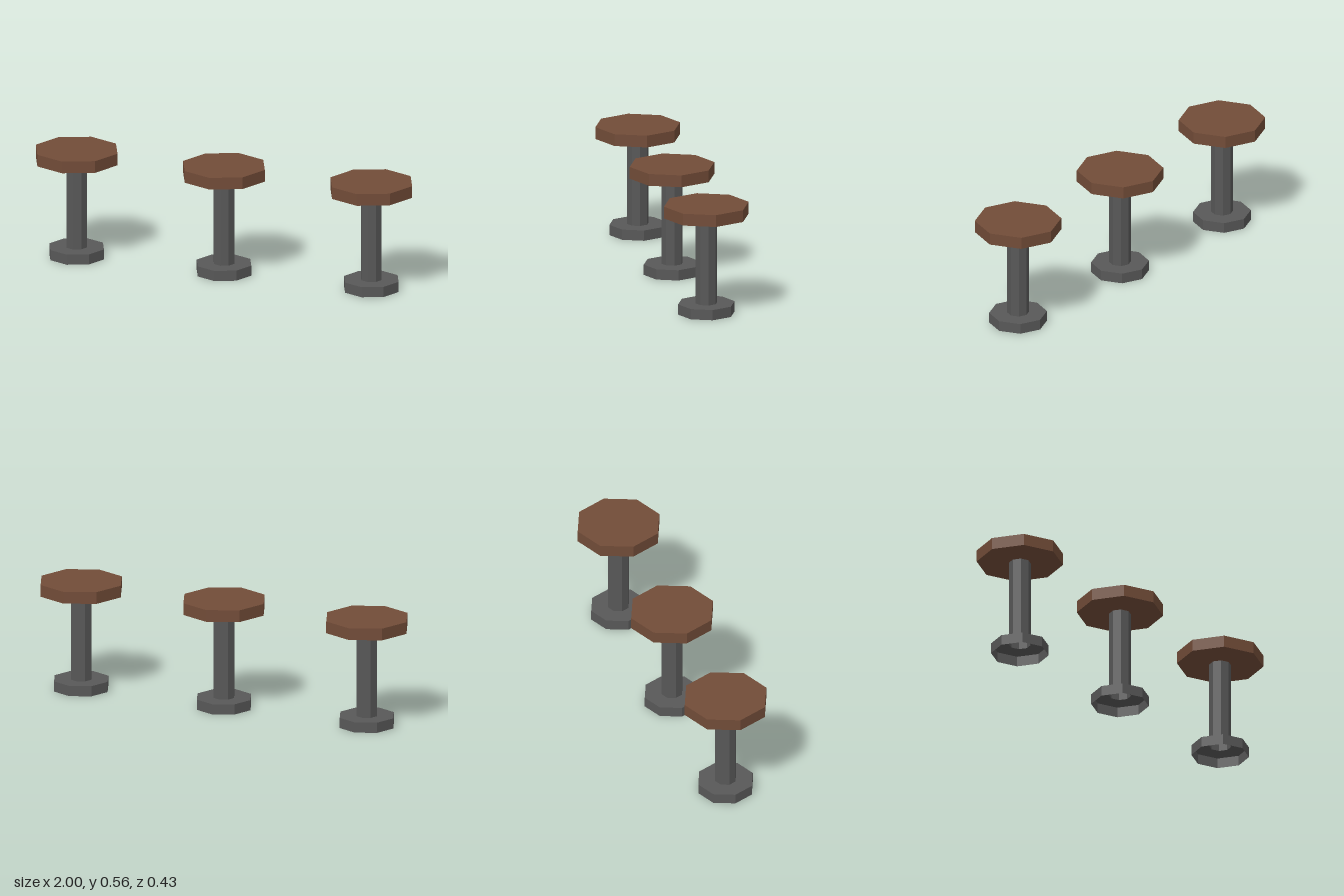
import * as THREE from 'three';

const SIDES = 8;
const SPACING = 0.783;

export function createModel() {
  const model = new THREE.Group();
  model.name = 'stoolRow';

  const wood = new THREE.MeshStandardMaterial({ color: 0x724c38, flatShading: true });
  wood.name = 'brown wood';
  const metal = new THREE.MeshStandardMaterial({ color: 0x585858, flatShading: true, side: THREE.DoubleSide });
  metal.name = 'grey metal';

  // Hollow pedestal, open underneath: foot wall, foot top, then the post
  const profile = [[0.145, 0], [0.145, 0.053], [0.055, 0.053], [0.055, 0.502]]
    .map(([r, y]) => new THREE.Vector2(r, y));
  const pedestalGeometry = new THREE.LatheGeometry(profile, SIDES);

  // Octagonal seat slab with corners on the axes
  const seatGeometry = new THREE.CylinderGeometry(0.217, 0.217, 0.061, SIDES);
  seatGeometry.translate(0, 0.5325, 0);

  ['rightStool', 'middleStool', 'leftStool'].forEach((name, i) => {
    const stool = new THREE.Group();
    stool.name = name;
    stool.position.x = (i - 1) * SPACING;

    const pedestal = new THREE.Mesh(pedestalGeometry, metal);
    pedestal.name = 'pedestal';
    const seat = new THREE.Mesh(seatGeometry, wood);
    seat.name = 'seat';

    stool.add(pedestal, seat);
    model.add(stool);
  });

  return model;
}
